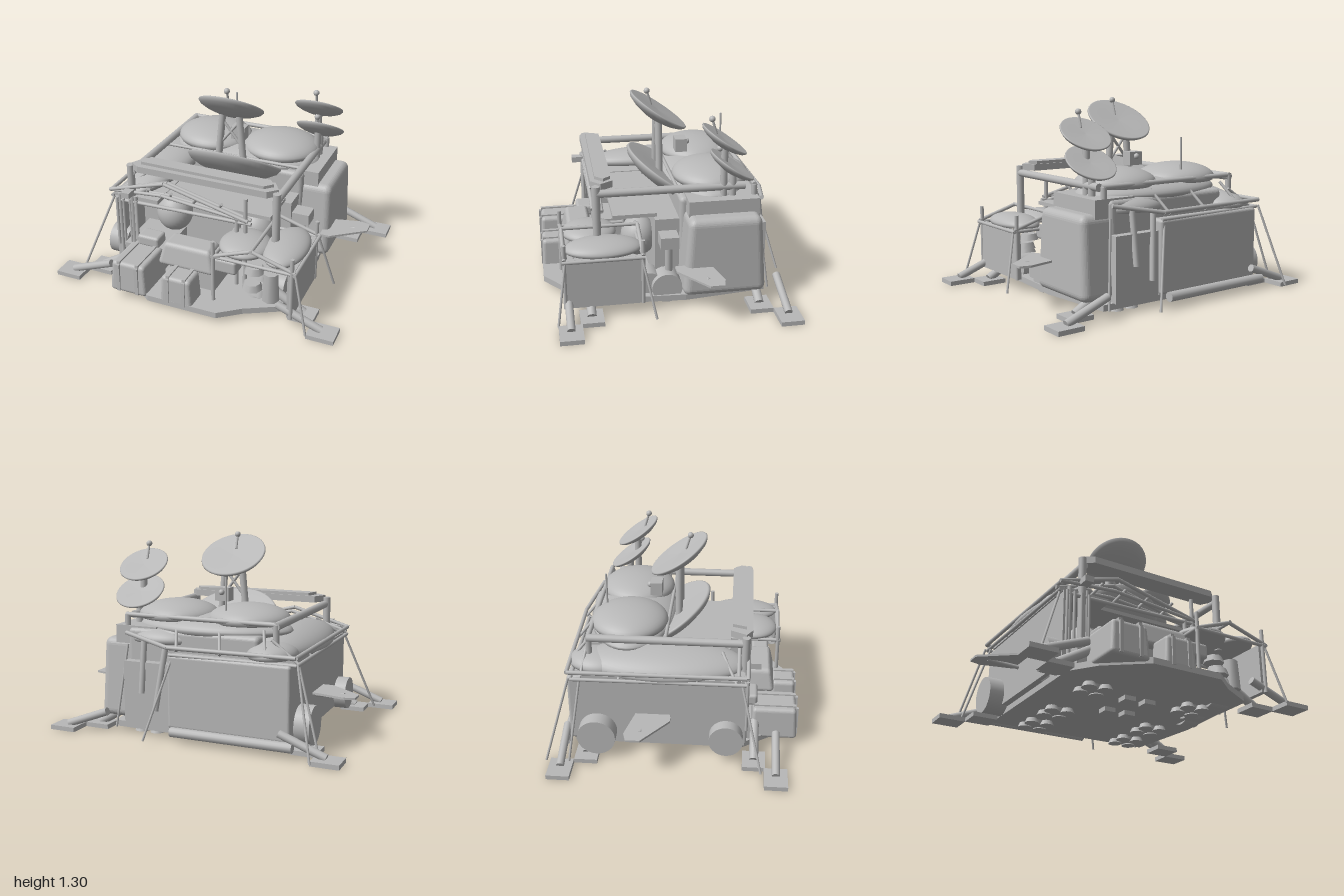
import * as THREE from 'three';
import { RoundedBoxGeometry } from 'three/addons/geometries/RoundedBoxGeometry.js';

export function createModel() {
  const root = new THREE.Group();
  const grey = new THREE.MeshStandardMaterial({ color: 0xb8b8b8 });
  grey.name = 'grey';
  const V = (a) => new THREE.Vector3(...a);

  const add = (name, geo, pos = [0, 0, 0]) => {
    const m = new THREE.Mesh(geo, grey);
    m.name = name;
    m.position.set(...pos);
    root.add(m);
    return m;
  };
  // Box from minimum to maximum corner
  const box = (name, a, b) => add(name, new THREE.BoxGeometry(b[0] - a[0], b[1] - a[1], b[2] - a[2]),
    a.map((v, i) => (v + b[i]) / 2));
  // Rounded box that narrows towards its top
  const tapered = (name, a, b, r, tx = 1, tz = 1) => {
    const h = b[1] - a[1];
    const g = new RoundedBoxGeometry(b[0] - a[0], h, b[2] - a[2], 4, r);
    const p = g.attributes.position;
    for (let i = 0; i < p.count; i++) {
      const t = p.getY(i) / h + 0.5;
      p.setX(i, p.getX(i) * (1 + (tx - 1) * t));
      p.setZ(i, p.getZ(i) * (1 + (tz - 1) * t));
    }
    g.computeVertexNormals();
    return add(name, g, a.map((v, i) => (v + b[i]) / 2));
  };
  // Round bar between two points
  const rod = (name, a, b, r = 0.01, sides = 10) => {
    const A = V(a), B = V(b), d = B.clone().sub(A);
    const m = add(name, new THREE.CylinderGeometry(r, r, d.length(), sides), A.clone().add(B).multiplyScalar(0.5).toArray());
    m.quaternion.setFromUnitVectors(new THREE.Vector3(0, 1, 0), d.normalize());
    return m;
  };
  const path = (name, pts, r) => pts.slice(1).forEach((p, i) => rod(name, pts[i], p, r));
  const ball = (name, pos, s) => add(name, new THREE.SphereGeometry(1, 32, 18), pos).scale.set(...s);
  // Flat-bottomed cushion dome
  const dome = (name, pos, s, tilt = 0) => {
    const pts = [new THREE.Vector2(0, -0.2), new THREE.Vector2(0.96, -0.2)];
    for (let i = 0; i <= 12; i++) {
      const a = (i / 12) * Math.PI / 2;
      pts.push(new THREE.Vector2(Math.cos(a), Math.sin(a)));
    }
    const m = add(name, new THREE.LatheGeometry(pts, 40), pos);
    m.scale.set(...s);
    m.rotation.z = tilt;
  };
  // Flat plate with an outline of x, z points
  const plate = (name, pts, y, h) => {
    const s = new THREE.Shape(pts.map(([x, z]) => new THREE.Vector2(x, -z)));
    const g = new THREE.ExtrudeGeometry(s, { depth: h, bevelEnabled: false });
    g.rotateX(-Math.PI / 2);
    return add(name, g, [0, y, 0]);
  };

  // Base deck with front apron
  plate('deck', [[-0.62, -0.66], [0.58, -0.64], [0.64, -0.1], [0.6, 0.58], [0.38, 0.7], [0.24, 0.81],
    [-0.25, 0.81], [-0.5, 0.62], [-0.62, 0.45]], 0.045, 0.04);

  // Thruster clusters and small vents under the deck
  for (const x of [-0.36, 0.37]) for (const z of [0.3, -0.2, -0.5]) {
    for (let i = 0; i < 4; i++) {
      const a = Math.PI / 4 + i * Math.PI / 2;
      add('thruster', new THREE.CylinderGeometry(0.035, 0.05, 0.035, 12), [x + 0.08 * Math.cos(a), 0.03, z + 0.08 * Math.sin(a)]);
    }
    add('thrusterHub', new THREE.CylinderGeometry(0.07, 0.06, 0.03, 8), [x, 0.035, z]);
  }
  for (const x of [-0.08, 0.07]) for (const z of [0.25, 0.0]) box('vent', [x - 0.04, 0.015, z - 0.04], [x + 0.04, 0.05, z + 0.04]);

  // Landing legs with square pads
  for (const s of [-1, 1]) {
    for (const z of [-0.715, 0.665]) {
      box('footPad', [s * 0.91 - 0.09, 0.01, z - 0.075], [s * 0.91 + 0.09, 0.04, z + 0.075]);
      rod('leg', [s * 0.9, 0.045, z], [s * 0.6, 0.16, z], 0.026, 14);
    }
    for (const z of [-0.565, 0.525]) {
      box('innerPad', [s * 0.735 - 0.085, 0.01, z - 0.075], [s * 0.735 + 0.085, 0.04, z + 0.075]);
      rod('innerLeg', [s * 0.74, 0.04, z], [s * 0.5, 0.18, z], 0.03, 14);
    }
    // Side fins
    plate('sideFin', [[0.95, -0.28], [0.88, -0.3], [0.66, -0.25], [0.66, -0.02], [0.73, -0.02], [0.95, -0.19]]
      .map(([x, z]) => [s * x, z]).slice(), 0.295, 0.014);
    rod('finStrut', [s * 0.62, 0.27, -0.16], [s * 0.86, 0.3, -0.2], 0.014);
  }

  // Hull core, back wall and left wing
  tapered('core', [-0.42, 0.08, -0.6], [0.5, 0.71, -0.08], 0.03);
  tapered('backWall', [-0.66, 0.09, -0.69], [0.17, 0.57, -0.55], 0.02);
  rod('backBumper', [-0.69, 0.08, -0.72], [0.13, 0.08, -0.72], 0.032, 14);
  box('backShelf', [0.17, 0.08, -0.66], [0.5, 0.5, -0.56]);
  box('leftWing', [-0.66, 0.09, -0.6], [-0.34, 0.57, 0.12]);
  box('leftWall', [-0.66, 0.09, 0.1], [-0.63, 0.57, 0.46]);
  box('leftLid', [-0.67, 0.56, -0.6], [-0.34, 0.59, 0.45]);
  dome('leftDome', [-0.5, 0.62, -0.08], [0.2, 0.1, 0.53], 0.2);
  dome('backDome', [-0.48, 0.6, -0.5], [0.16, 0.08, 0.2]);
  dome('backDome', [0.28, 0.64, -0.5], [0.24, 0.08, 0.15]);
  for (let i = 0; i < 4; i++) rod('wallSlat', [-0.64 + i * 0.05, 0.2, 0.47], [-0.64 + i * 0.05, 0.57, 0.47], 0.01);

  // Twin roof cushions over a broad shallow one
  dome('roofCushion', [0, 0.71, -0.32], [0.54, 0.1, 0.29]);
  for (const x of [-0.25, 0.26]) dome('roofDome', [x, 0.78, -0.325], [0.27, 0.1, 0.255]);

  // Right wing tank
  tapered('rightTank', [0.42, 0.1, -0.62], [0.71, 0.63, -0.07], 0.05, 0.9, 0.86);
  box('tankRoof', [0.3, 0.6, -0.58], [0.6, 0.72, -0.12]);

  // Drum tanks on the sides
  for (const [x0, x1, y, z, r] of [[-0.76, -0.6, 0.17, -0.5, 0.125], [-0.74, -0.6, 0.17, 0.34, 0.11],
    [0.5, 0.62, 0.13, 0.02, 0.1], [0.44, 0.58, 0.13, 0.14, 0.1], [0.44, 0.58, 0.12, 0.4, 0.09]]) {
    rod('drum', [x0, y, z], [x1, y, z], r, 28);
  }
  // Side pump by the right tank
  box('sidePump', [0.46, 0.4, -0.06], [0.6, 0.48, 0.06]);
  rod('sidePumpPipe', [0.54, 0.2, 0.0], [0.54, 0.42, 0.0], 0.025);

  // Front bay: rear wall, roof, tanks, console, cargo cases
  box('bayWall', [-0.36, 0.09, -0.08], [0.48, 0.56, 0.08]);
  box('bayRoof', [-0.34, 0.56, 0.06], [0.43, 0.585, 0.35]);
  ball('bayTank', [-0.36, 0.36, 0.16], [0.13, 0.14, 0.12]);
  ball('bayTank', [0.26, 0.36, 0.16], [0.13, 0.14, 0.12]);
  box('bayScreen', [-0.17, 0.4, 0.1], [0.17, 0.54, 0.14]);
  tapered('console', [-0.25, 0.24, 0.44], [0.16, 0.4, 0.66], 0.03, 0.8, 0.7);
  box('consoleBase', [-0.18, 0.09, 0.35], [0.14, 0.26, 0.6]);
  box('sideBench', [-0.58, 0.09, 0.14], [-0.28, 0.24, 0.5]);
  tapered('equipmentBox', [0.14, 0.26, 0.5], [0.3, 0.36, 0.62], 0.02);
  tapered('equipmentBox', [-0.46, 0.27, 0.42], [-0.3, 0.35, 0.54], 0.02);
  const cargo = (x0, x1, y1, z0) => {
    tapered('cargoCase', [x0, 0.06, z0], [x1, y1, 0.81], 0.025, 0.88, 0.92);
    for (const t of [0.25, 0.75]) {
      const x = x0 + (x1 - x0) * t;
      box('cargoStrap', [x - 0.012, 0.07, 0.79], [x + 0.012, y1 - 0.01, 0.815]);
      box('cargoStrap', [x - 0.012, y1 - 0.02, z0 + 0.02], [x + 0.012, y1 + 0.01, 0.8]);
    }
  };
  cargo(-0.53, -0.26, 0.28, 0.5);
  cargo(-0.16, 0.07, 0.26, 0.64);
  // Valve stack beside the right bay
  for (let i = 0; i < 5; i++) {
    add('valve', new THREE.CylinderGeometry(0.055, 0.07, 0.045, 8), [0.4 + (i % 2) * 0.05, 0.1 + i * 0.05, 0.5 + (i % 3) * 0.04]);
  }
  add('canister', new THREE.CylinderGeometry(0.05, 0.06, 0.2, 8), [0.52, 0.21, 0.56]);

  // Front right shelter: side panel, cushion roofs and peaked frame
  box('shelterPanel', [0.67, 0.09, 0.19], [0.705, 0.42, 0.68]);
  dome('shelterRoof', [0.58, 0.44, 0.43], [0.14, 0.065, 0.25]);
  dome('shelterRoof', [0.32, 0.44, 0.5], [0.17, 0.065, 0.18]);
  for (const z of [0.19, 0.685]) {
    path('shelterFrame', [[0.16, 0.42, z], [0.43, 0.52, z], [0.72, 0.43, z]], 0.013);
    rod('shelterFrame', [0.16, 0.42, z], [0.72, 0.42, z], 0.012);
    rod('shelterPost', [0.7, 0.09, z], [0.7, 0.53, z], 0.013);
  }
  for (const [x, y] of [[0.17, 0.42], [0.43, 0.52], [0.72, 0.42]]) rod('shelterFrame', [x, y, 0.18], [x, y, 0.7], 0.012);
  for (const z of [0.25, 0.685]) rod('shelterPost', [0.17, 0.09, z], [0.17, 0.53, z], 0.013);

  // Front bay roof trusses
  for (const [z, y] of [[0.41, 0.6], [0.47, 0.62]]) {
    path('bayTruss', [[-0.69, y, z], [-0.28, y + 0.12, z], [0.32, y - 0.03, z]], 0.013);
    path('bayTruss', [[-0.69, y, z], [-0.3, y + 0.03, z], [0.32, y - 0.03, z]], 0.012);
  }
  for (const x of [-0.45, -0.28, -0.1, 0.08]) rod('trussWeb', [x, 0.6, 0.41], [x + 0.06, 0.68, 0.47], 0.01);
  for (const [x, y] of [[-0.62, 0.6], [-0.5, 0.6], [0.24, 0.6], [0.3, 0.75]]) rod('bayPost', [x, 0.09, 0.46], [x, y, 0.46], 0.014);
  rod('bayBeam', [-0.63, 0.55, 0.46], [0.34, 0.57, 0.46], 0.013);
  box('frameBracket', [-0.56, 0.62, 0.46], [-0.5, 0.66, 0.55]);

  // Wing edge rails
  path('wingRail', [[-0.68, 0.62, 0.46], [-0.69, 0.62, -0.68], [0.16, 0.62, -0.7], [0.5, 0.68, -0.62]], 0.014);
  path('wingRail', [[-0.68, 0.57, 0.46], [-0.69, 0.57, -0.66], [0.16, 0.57, -0.68]], 0.012);
  for (let i = 0; i < 5; i++) rod('railBrace', [-0.68, 0.57, 0.4 - i * 0.25], [-0.5, 0.7, 0.3 - i * 0.22], 0.01);
  for (const x of [-0.5, -0.2, 0.1]) rod('railBrace', [x, 0.6, -0.69], [x + 0.06, 0.75, -0.56], 0.01);
  rod('backBrace', [0.25, 0.2, -0.7], [0.2, 0.62, -0.64], 0.02);
  rod('backBrace', [0.36, 0.3, -0.68], [0.36, 0.66, -0.63], 0.02);

  // Overhead roll frame
  rod('topRail', [-0.52, 0.78, 0.46], [-0.52, 0.78, -0.57], 0.026, 14);
  rod('topRail', [0.51, 0.78, 0.46], [0.51, 0.78, -0.5], 0.026, 14);
  rod('topRail', [-0.52, 0.79, -0.56], [0.53, 0.79, -0.56], 0.016);
  rod('framePost', [-0.53, 0.1, 0.45], [-0.53, 0.83, 0.45], 0.026, 14);
  rod('framePost', [0.51, 0.42, 0.46], [0.51, 0.83, 0.46], 0.026, 14);
  for (const x of [-0.52, 0.52]) rod('framePost', [x, 0.55, -0.56], [x, 0.79, -0.56], 0.02);
  rod('crossRail', [-0.52, 0.76, -0.07], [0.51, 0.76, -0.07], 0.012);

  // Chamfered front visor
  plate('visor', [[-0.52, 0.45], [-0.47, 0.35], [0.46, 0.35], [0.51, 0.43], [0.45, 0.49], [-0.46, 0.49]], 0.8, 0.045);
  plate('visorCap', [[-0.45, 0.45], [-0.42, 0.36], [0.43, 0.36], [0.47, 0.41], [0.42, 0.46]], 0.845, 0.02);

  // Dishes tilted up towards the back
  const dish = (x, y, z, r, feed) => {
    const pts = [[0, -0.3], [0.35, -0.28], [0.7, -0.19], [0.92, -0.09], [1, 0], [0.99, 0.04], [0.96, 0.05], [0.6, 0.03], [0, 0]];
    const m = add('dish', new THREE.LatheGeometry(pts.map(([a, b]) => new THREE.Vector2(a * r, b * r)), 48), [x, y, z]);
    m.rotation.x = -0.59;
    if (feed) {
      rod('feedStalk', [x, feed[0] - 0.1, feed[1] - 0.03], [x, ...feed], 0.008);
      ball('feedTip', [x, ...feed], [0.02, 0.02, 0.02]);
    }
  };
  dish(0, 1.155, -0.015, 0.225, [1.29, 0.06]);
  dish(0.51, 1.1, -0.355, 0.168, [1.235, -0.275]);
  dish(0.51, 0.925, -0.41, 0.168, [1.04, -0.33]);
  dish(0, 0.7, -0.085, 0.34);

  // Dish masts and aerial
  for (const s of [-1, 1]) {
    rod('dishMast', [s * 0.1, 0.68, -0.01], [s * 0.06, 1.1, -0.01], 0.024, 14);
    rod('mastBrace', [s * 0.09, 0.86, -0.01], [-s * 0.06, 1.05, -0.01], 0.01);
  }
  rod('sideMast', [0.51, 0.6, -0.36], [0.51, 1.07, -0.36], 0.024, 14);
  rod('sideMast', [0.51, 0.6, -0.42], [0.51, 0.9, -0.42], 0.024, 14);
  box('mastBox', [-0.05, 0.86, -0.21], [0.05, 0.95, -0.13]);
  ball('beacon', [0, 0.92, -0.215], [0.02, 0.02, 0.02]);
  rod('aerial', [-0.155, 0.75, -0.49], [-0.155, 1.06, -0.49], 0.007);

  // Ground stays
  for (const [a, b] of [
    [[-0.7, 0.58, -0.67], [-0.83, 0.03, -0.82]], [[0.13, 0.58, -0.67], [0.28, 0.03, -0.82]],
    [[-0.67, 0.58, 0.43], [-0.87, 0.03, 0.57]], [[-0.68, 0.58, -0.6], [-0.84, 0.03, -0.67]],
    [[0.72, 0.42, 0.68], [0.82, 0.03, 0.74]], [[0.72, 0.42, 0.2], [0.82, 0.03, 0.12]],
    [[0.5, 0.6, -0.6], [0.56, 0.05, -0.67]]]) rod('groundStay', a, b, 0.008, 8);

  return root;
}
